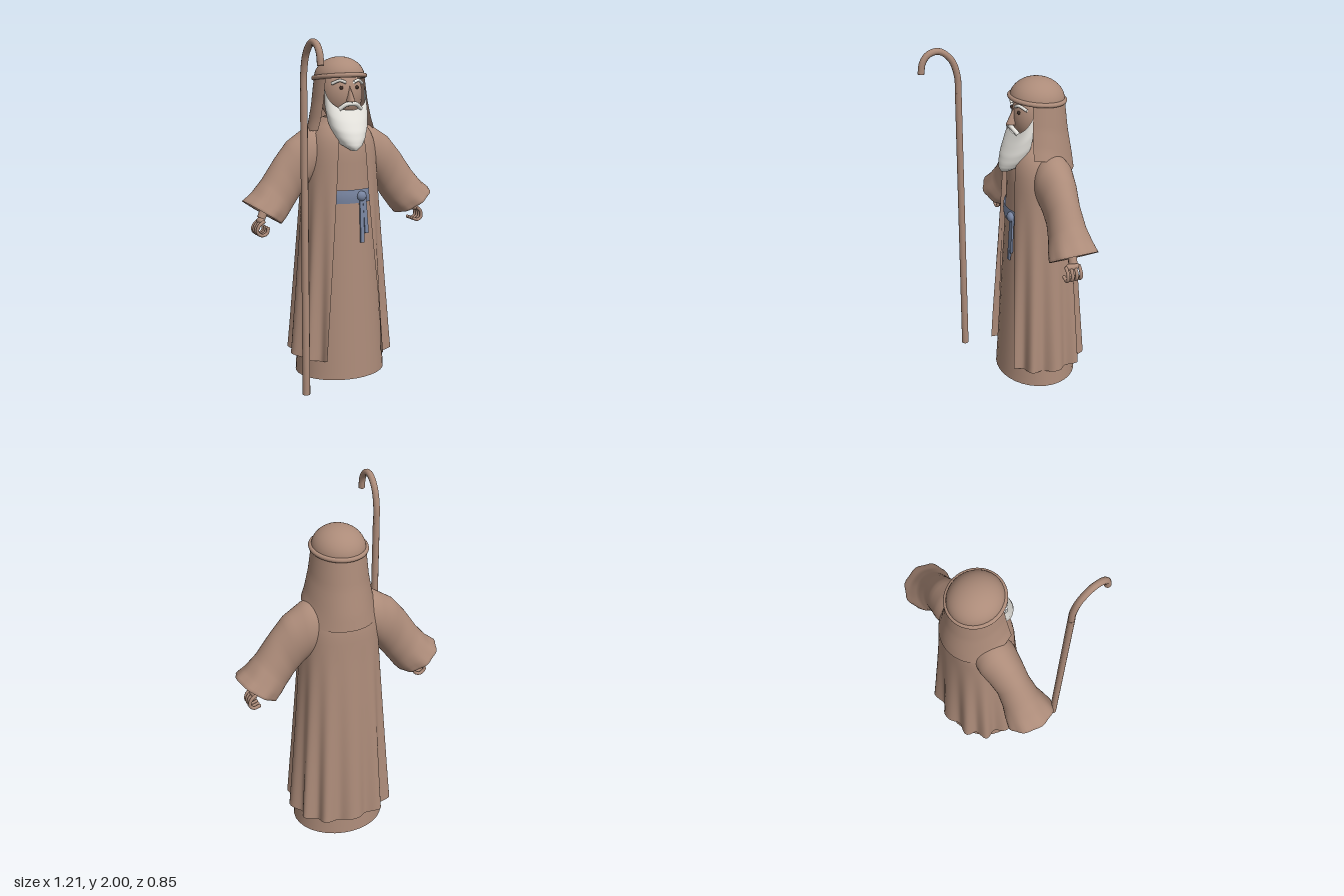
import * as THREE from 'three';
import { mergeVertices } from 'three/addons/utils/BufferGeometryUtils.js';

const mat = (name, color) => {
  const m = new THREE.MeshStandardMaterial({ color, side: THREE.DoubleSide });
  m.name = name;
  return m;
};
const V = (x, y, z) => new THREE.Vector3(x, y, z);

// Linear lookup in rows of [key, a, b, ...]
function lookup(rows, t) {
  let i = 0;
  while (i < rows.length - 2 && t > rows[i + 1][0]) i++;
  const p = rows[i], q = rows[i + 1];
  const k = THREE.MathUtils.clamp((t - p[0]) / (q[0] - p[0]), 0, 1);
  return p.slice(1).map((v, j) => v + (q[j + 1] - v) * k);
}

// Smooth surface from fn(u, v) -> [x, y, z], both 0..1
function surface(nu, nv, fn) {
  const pos = [], idx = [], w = nu + 1;
  for (let j = 0; j <= nv; j++)
    for (let i = 0; i <= nu; i++) pos.push(...fn(i / nu, j / nv));
  for (let j = 0; j < nv; j++)
    for (let i = 0; i < nu; i++) {
      const a = j * w + i;
      idx.push(a, a + w, a + 1, a + 1, a + w, a + w + 1);
    }
  let g = new THREE.BufferGeometry();
  g.setAttribute('position', new THREE.Float32BufferAttribute(pos, 3));
  g.setIndex(idx);
  g = mergeVertices(g, 1e-5);
  g.computeVertexNormals();
  return g;
}

const tube = (pts, r, seg = 16, sides = 8) =>
  new THREE.TubeGeometry(new THREE.CatmullRomCurve3(pts.map(p => V(...p))), seg, r, sides);

export function createModel() {
  const root = new THREE.Group();
  root.name = 'robedElder';
  const brown = mat('warmBrown', 0xac8b79);
  const white = mat('beardWhite', 0xe8e6e0);
  const blue = mat('sashBlue', 0x7986a2);
  const dark = mat('darkBrown', 0x3e2e27);

  const add = (name, geo, m, parent = root) => {
    const mesh = new THREE.Mesh(geo, m);
    mesh.name = name;
    parent.add(mesh);
    return mesh;
  };
  const ball = (name, m, p, s, parent = root) => {
    const b = add(name, new THREE.SphereGeometry(1, 24, 16), m, parent);
    b.position.set(...p);
    b.scale.set(...s);
    return b;
  };

  // Inner tunic: y, rx, rz, z centre
  const tunicRows = [[0, 0.275, 0.24, -0.14], [1.1, 0.205, 0.178, -0.14], [1.36, 0.18, 0.17, -0.14],
    [1.46, 0.14, 0.14, -0.14], [1.54, 0.06, 0.07, -0.13]];
  add('tunic', surface(32, 30, (u, v) => {
    const y = 1.54 * (1 - v), a = u * Math.PI * 2;
    const [rx, rz, zc] = lookup(tunicRows, y);
    return [rx * Math.sin(a), y, zc + rz * Math.cos(a)];
  }), brown);
  // Dark underside, set just inside the hem
  const under = add('tunicUnderside', new THREE.CircleGeometry(1, 32), dark);
  under.position.set(0, 0.012, -0.14);
  under.scale.set(0.272, 0.237, 1);
  under.rotation.x = Math.PI / 2;

  // Pleated coat, open down the front: y, rx, rz, z centre, half opening
  const coatRows = [[0.12, 0.293, 0.253, -0.15, 0.175], [1.15, 0.226, 0.196, -0.142, 0.1],
    [1.34, 0.214, 0.187, -0.141, 0.088], [1.43, 0.195, 0.172, -0.138, 0.08],
    [1.49, 0.16, 0.14, -0.138, 0.07], [1.54, 0.09, 0.09, -0.138, 0.05]];
  const P = 0.85;
  const bend = s => Math.sign(s) * Math.abs(s) ** P;
  add('coat', surface(120, 32, (u, v) => {
    const y = 1.54 - 1.42 * v;
    const [rx, rz, zc, open] = lookup(coatRows, y);
    const a0 = Math.asin((open / rx) ** (1 / P));
    const a = a0 + u * (Math.PI * 2 - 2 * a0);
    const wave = Math.cos(12 * a) * THREE.MathUtils.clamp((1.25 - y) / 1.13, 0, 1);
    const k = 1 + 0.075 * wave;
    return [rx * k * bend(Math.sin(a)), y + (v === 1 ? 0.006 * wave : 0), zc + rz * k * bend(Math.cos(a))];
  }), brown);

  // Sash with knot and hanging tails
  add('sash', surface(48, 4, (u, v) => {
    const a = u * Math.PI * 2, k = 1 + 0.02 * Math.sin(v * Math.PI);
    return [0.211 * k * Math.sin(a), 1.13 - 0.08 * v, -0.14 + 0.187 * k * Math.cos(a)];
  }), blue);
  ball('sashKnot', blue, [0.055, 1.09, 0.047], [0.03, 0.03, 0.022]);
  for (const [x, bottom, lean] of [[0.055, 0.815, 0], [0.078, 0.87, 0.05]]) {
    const t = add('sashTail', new THREE.BoxGeometry(0.023, 1.08 - bottom, 0.012), blue);
    t.position.set(x, (1.08 + bottom) / 2, 0.051);
    t.rotation.set(-0.06, 0, lean);
  }

  // Flared sleeves: station, upper x y, lower x y, half depth, z centre
  const sleeveRows = [[0, 0.1, 1.5, 0.14, 1.2, 0.11, -0.155], [1, 0.21, 1.48, 0.2, 1.16, 0.118, -0.155],
    [2, 0.32, 1.41, 0.235, 1.12, 0.106, -0.152], [3, 0.4, 1.315, 0.275, 1.07, 0.097, -0.148],
    [4, 0.48, 1.2, 0.32, 1.01, 0.108, -0.145], [5, 0.545, 1.125, 0.355, 0.965, 0.13, -0.143],
    [6, 0.602, 1.08, 0.385, 0.935, 0.142, -0.143], [7, 0.57, 1.075, 0.405, 0.955, 0.115, -0.143],
    [8, 0.47, 1.14, 0.38, 1.06, 0.05, -0.143]];
  const fingerArcs = {
    1: [[0.505, 0.965], [0.536, 0.935], [0.538, 0.9], [0.515, 0.884], [0.487, 0.893]],
    '-1': [[0.495, 0.965], [0.53, 0.94], [0.541, 0.905], [0.515, 0.882], [0.482, 0.892], [0.475, 0.92]],
  };
  for (const side of [1, -1]) {
    const arm = new THREE.Group();
    arm.name = side > 0 ? 'leftArm' : 'rightArm';
    root.add(arm);
    add('sleeve', surface(40, 32, (u, v) => {
      const s = v * 8, a = u * Math.PI * 2;
      const [ax, ay, bx, by, d, zc] = lookup(sleeveRows, s);
      const ripple = 1 + (s > 4 && s < 7 ? 0.015 * (s - 4) * Math.cos(8 * a) : 0);
      const c = Math.cos(a) * ripple;
      return [side * ((ax + bx) / 2 + (ax - bx) / 2 * c), (ay + by) / 2 + (ay - by) / 2 * c,
        zc + d * Math.sin(a) * ripple];
    }), brown, arm);
    // Forearm, palm and curled fingers
    add('forearm', tube([[side * 0.43, 1.1, -0.14], [side * 0.475, 1.03, -0.14], [side * 0.5, 0.975, -0.135]],
      0.025, 6, 12), brown, arm);
    ball('palm', brown, [side * 0.505, 0.96, -0.13], [0.022, 0.02, 0.044], arm);
    const arc = fingerArcs[side], end = arc[arc.length - 1];
    for (let i = 0; i < 4; i++) {
      const z = -0.09 - 0.026 * i;
      add('finger', tube(arc.map(([x, y]) => [side * x, y, z]), 0.01, 14), brown, arm);
      ball('fingertip', brown, [side * end[0], end[1], z], [0.01, 0.01, 0.01], arm);
    }
  }

  // Head and face
  ball('head', brown, [0, 1.67, -0.115], [0.125, 0.16, 0.125]);
  ball('neck', brown, [0, 1.52, -0.13], [0.075, 0.1, 0.075]);
  const nose = add('nose', new THREE.ConeGeometry(0.024, 0.09, 16), brown);
  nose.position.set(0, 1.682, 0.006);
  nose.scale.z = 1.9;
  for (const s of [1, -1]) {
    ball('eye', dark, [s * 0.05, 1.715, -0.004], [0.011, 0.011, 0.008]);
    add('eyebrow', tube([[s * 0.025, 1.744, 0.005], [s * 0.058, 1.756, -0.004], [s * 0.098, 1.737, -0.033]],
      0.009, 10), white);
    add('moustache', tube([[0, 1.624, 0.026], [s * 0.03, 1.622, 0.025], [s * 0.068, 1.594, 0.006]],
      0.013, 10), white);
  }

  // Full rounded beard shell: v, half width, back z, depth
  const beardRows = [[0, 0.128, -0.055, 0.072], [0.3, 0.13, -0.045, 0.097], [0.55, 0.118, -0.03, 0.108],
    [0.75, 0.095, -0.01, 0.1], [0.9, 0.064, 0.015, 0.078], [1, 0.015, 0.05, 0.032]];
  add('beard', surface(32, 20, (u, v) => {
    const t = u * 2 - 1, a = t * 1.75;
    const [w, zb, d] = lookup(beardRows, v);
    const top = 1.587 + 0.14 * Math.abs(t) ** 2;
    return [w * Math.sin(a), THREE.MathUtils.lerp(top, 1.36, v), zb + d * Math.cos(a)];
  }), white);

  // Head cloth: cap, rolled band and hanging veil
  const cap = add('headCap', new THREE.SphereGeometry(1, 36, 12, 0, Math.PI * 2, 0, Math.PI / 2), brown);
  cap.position.set(0, 1.765, -0.135);
  cap.scale.set(0.147, 0.122, 0.156);
  cap.rotation.x = -0.1;
  const band = add('headBand', new THREE.TorusGeometry(0.148, 0.0135, 12, 48), brown);
  band.position.set(0, 1.77, -0.136);
  band.rotation.x = Math.PI / 2 - 0.11;
  band.scale.y = 1.04;
  const veilRows = [[0, 0.145, 0.154, -0.135, 1.02], [0.45, 0.163, 0.174, -0.137, 1.04],
    [0.8, 0.186, 0.198, -0.14, 1.06], [1, 0.206, 0.209, -0.14, 1.08]];
  add('veil', surface(48, 16, (u, v) => {
    const [rx, rz, zc, a0] = lookup(veilRows, v);
    const a = a0 + u * (Math.PI * 2 - 2 * a0);
    const back = (1 - Math.cos(a)) / 2;
    const hem = 1.47 - 0.11 * THREE.MathUtils.smoothstep(back, 0.35, 0.9);
    return [rx * Math.sin(a), THREE.MathUtils.lerp(1.775, hem, v), zc + rz * Math.cos(a)];
  }), brown);

  // Crook standing in front of the right hand
  const sx = -0.37;
  const shaft = add('staffShaft', new THREE.CylinderGeometry(0.02, 0.022, 1.72, 10), brown);
  shaft.position.set(sx, 0.86, 0.193);
  add('staffCrook', tube([[sx, 1.7, 0.193], [sx, 1.82, 0.196], [sx, 1.92, 0.23], [sx, 1.977, 0.3],
    [sx, 1.965, 0.365], [sx, 1.92, 0.4], [sx, 1.86, 0.411]], 0.019, 28, 10), brown);
  const tip = add('staffTip', new THREE.CircleGeometry(0.019, 10), brown);
  tip.position.set(sx, 1.86, 0.411);
  tip.rotation.x = Math.PI / 2;

  return root;
}
